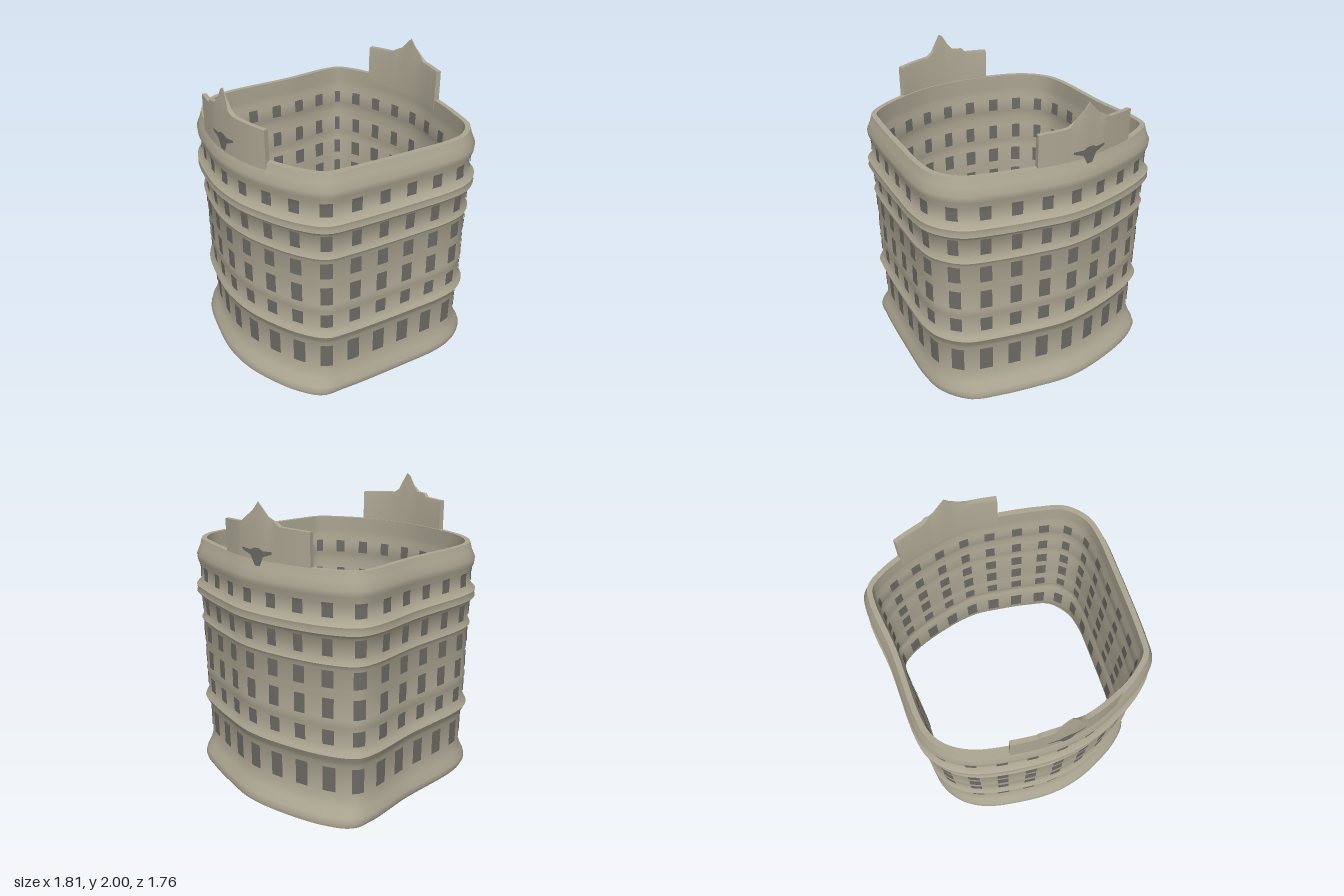
import * as THREE from 'three';
import { mergeGeometries, toCreasedNormals } from 'three/addons/utils/BufferGeometryUtils.js';

// Rounded, skewed floor plan (x, z), counter-clockwise seen from above
const PLAN = [
  [0, 0.82], [0.2, 0.805], [0.42, 0.755], [0.56, 0.68], [0.617, 0.56], [0.767, 0.107],
  [0.845, -0.17], [0.85, -0.31], [0.775, -0.465], [0.615, -0.57], [0.37, -0.69], [0.16, -0.775],
  [-0.1, -0.81], [-0.45, -0.795], [-0.62, -0.735], [-0.67, -0.64], [-0.74, -0.27],
  [-0.855, 0.17], [-0.865, 0.31], [-0.82, 0.44], [-0.7, 0.57], [-0.44, 0.71], [-0.22, 0.79],
];
// Wall profile: height, outward offset, wall thickness
const PROFILE = [
  [0, 0.015, 0.04], [0.03, 0.03, 0.05], [0.06, 0.025, 0.06], [0.11, 0.005, 0.05], [0.17, -0.012, 0.045],
  [0.4, -0.01, 0.045], [0.44, 0.01, 0.055], [0.475, 0.028, 0.065], [0.5, 0.015, 0.06], [0.53, 0, 0.05],
  [0.66, 0.002, 0.05], [0.69, 0.01, 0.055], [0.72, 0.004, 0.05], [0.87, 0.003, 0.05], [0.9, 0.008, 0.055],
  [1.04, 0.006, 0.05], [1.07, 0.022, 0.06], [1.1, 0.006, 0.05], [1.23, 0.012, 0.055], [1.265, 0.045, 0.08],
  [1.29, 0.04, 0.08], [1.315, 0.045, 0.08], [1.35, 0.01, 0.06], [1.44, 0.008, 0.055], [1.49, 0.028, 0.065],
  [1.53, 0.032, 0.07], [1.58, 0.01, 0.05], [1.635, -0.006, 0.035],
];

const curve = new THREE.CatmullRomCurve3(
  PLAN.map(([x, z]) => new THREE.Vector3(x, 0, z)), true, 'centripetal');
curve.arcLengthDivisions = 600;
const SAMPLES = curve.getSpacedPoints(1500);

// Point on the plan at parameter s, pushed outward by off, at height y
function at(s, off, y) {
  const u = ((s % 1) + 1) % 1;
  const p = curve.getPointAt(u), t = curve.getTangentAt(u);
  const flare = 0.045 * t.x * t.x * Math.max(0, 1 - y / 0.15); // foot spreads at front and back
  return [p.x - t.z * (off + flare), y, p.z + t.x * (off + flare)];
}

// Parameter where the front (side 1) or back (side -1) wall crosses x
function paramAt(x, side) {
  let best = 0, gap = 9;
  SAMPLES.forEach((p, i) => {
    const d = Math.abs(p.x - x);
    if (p.z * side > 0.5 && d < gap) { gap = d; best = i; }
  });
  return best / 1500;
}

function profileAt(y) {
  let i = 1;
  while (i < PROFILE.length - 1 && PROFILE[i][0] < y) i++;
  const a = PROFILE[i - 1], b = PROFILE[i];
  const k = Math.min(1, (y - a[0]) / (b[0] - a[0]));
  return [a[1] + (b[1] - a[1]) * k, a[2] + (b[2] - a[2]) * k];
}

// Skin a list of cross-sections; loop closes each section, ring joins last to first
function loft(sections, loop, ring, caps) {
  const n = sections[0].length, m = sections.length, idx = [];
  for (let i = 0; i < (ring ? m : m - 1); i++) {
    for (let j = 0; j < (loop ? n : n - 1); j++) {
      const k = (i + 1) % m, l = (j + 1) % n;
      const a = i * n + j, b = k * n + j, c = k * n + l, d = i * n + l;
      idx.push(a, b, c, a, c, d);
    }
  }
  if (caps) {
    const e = (m - 1) * n;
    for (let j = 1; j < n - 1; j++) idx.push(0, j, j + 1, e, e + j + 1, e + j);
  }
  const g = new THREE.BufferGeometry();
  g.setAttribute('position', new THREE.Float32BufferAttribute(sections.flat(2), 3));
  g.setIndex(idx);
  return g;
}

// Thin patch lying on the outer or inner wall face
function patch(s, width, y0, y1, inner) {
  const sections = [];
  for (let i = 0; i <= 2; i++) {
    const col = [];
    for (let j = 0; j <= 4; j++) {
      const y = y0 + (y1 - y0) * j / 4, [off, thick] = profileAt(y);
      col.push(at(s + (i / 2 - 0.5) * width, inner ? off - thick - 0.004 : off + 0.004, y));
    }
    sections.push(col);
  }
  return loft(sections, false, false, false);
}

// Stepped gable rising from the rim: heights are [x, top]
function gable(heights, side, off) {
  const cols = [];
  heights.forEach(([x, h], i) => {
    if (i) {
      const [px, ph] = heights[i - 1], steps = Math.ceil((x - px) / 0.05);
      for (let k = 1; k < steps; k++) cols.push([px + (x - px) * k / steps, ph + (h - ph) * k / steps]);
    }
    cols.push([x, h]);
  });
  if (side < 0) cols.reverse();
  return loft(cols.map(([x, h]) => {
    const s = paramAt(x, side), slim = h > 1.88 ? 0.012 : 0;
    return [at(s, off, 1.57), at(s, off, 1.82), at(s, off - slim, h),
      at(s, off - 0.03 + slim, h), at(s, off - 0.035, 1.82), at(s, off - 0.04, 1.57)];
  }), true, false, true);
}

export function createModel() {
  const group = new THREE.Group();
  const stone = new THREE.MeshStandardMaterial({ color: 0xaca692, side: THREE.DoubleSide });
  const glass = new THREE.MeshStandardMaterial({ color: 0x6c6a64, side: THREE.DoubleSide });
  const add = (name, geo, mat) => {
    const mesh = new THREE.Mesh(toCreasedNormals(geo, 0.8), mat);
    mesh.name = name;
    group.add(mesh);
  };

  // Hollow wall with plinth, string courses and cornices
  const sections = [];
  for (let i = 0; i < 160; i++) {
    const s = i / 160;
    const outer = PROFILE.map(([y, o]) => at(s, o, y));
    const inner = PROFILE.map(([y, o, t]) => at(s, o - t, y)).reverse();
    sections.push([...outer, ...inner]);
  }
  add('wall', loft(sections, true, true, false), stone);

  // Front and back gables
  add('frontGable', gable([[-0.51, 1.84], [-0.36, 1.845], [-0.34, 1.87], [-0.27, 1.875], [-0.23, 1.92],
    [-0.19, 1.985], [-0.165, 2], [-0.14, 1.96], [-0.1, 1.88], [-0.06, 1.855], [0.2, 1.84]], 1, 0.008), stone);
  add('backGable', gable([[-0.34, 1.84], [-0.13, 1.85], [-0.1, 1.87], [-0.04, 1.9], [0, 1.94],
    [0.04, 1.98], [0.08, 1.935], [0.14, 1.89], [0.19, 1.85], [0.37, 1.84]], -1, -0.006), stone);

  // Window rows: bottom, top, width
  const rows = [[0.21, 0.38, 0.016], [0.54, 0.64, 0.014], [0.72, 0.85, 0.014],
    [0.92, 1.03, 0.014], [1.12, 1.23, 0.012], [1.36, 1.45, 0.013]];
  const outside = [], inside = [];
  for (const [y0, y1, w] of rows) {
    for (let i = 0; i < 28; i++) {
      outside.push(patch(i / 28, w, y0, y1, false));
      inside.push(patch(i / 28, w, y0, y1, true));
    }
  }
  add('outerWindows', mergeGeometries(outside), glass);
  add('innerWindows', mergeGeometries(inside), glass);

  // Winged ornament on each gable: x offset, bottom, top
  const wings = [[-0.12, 1.685, 1.7], [-0.05, 1.66, 1.695], [-0.02, 1.6, 1.71],
    [0.02, 1.6, 1.71], [0.05, 1.66, 1.695], [0.12, 1.685, 1.7]];
  for (const [name, cx, side, off] of [['frontOrnament', -0.18, 1, 0.013], ['backOrnament', 0.04, -1, 0.006]]) {
    add(name, loft(wings.map(([dx, y0, y1]) => {
      const s = paramAt(cx + dx * side, side);
      return [at(s, off, y0), at(s, off, y1)];
    }), false, false, false), glass);
  }
  return group;
}
